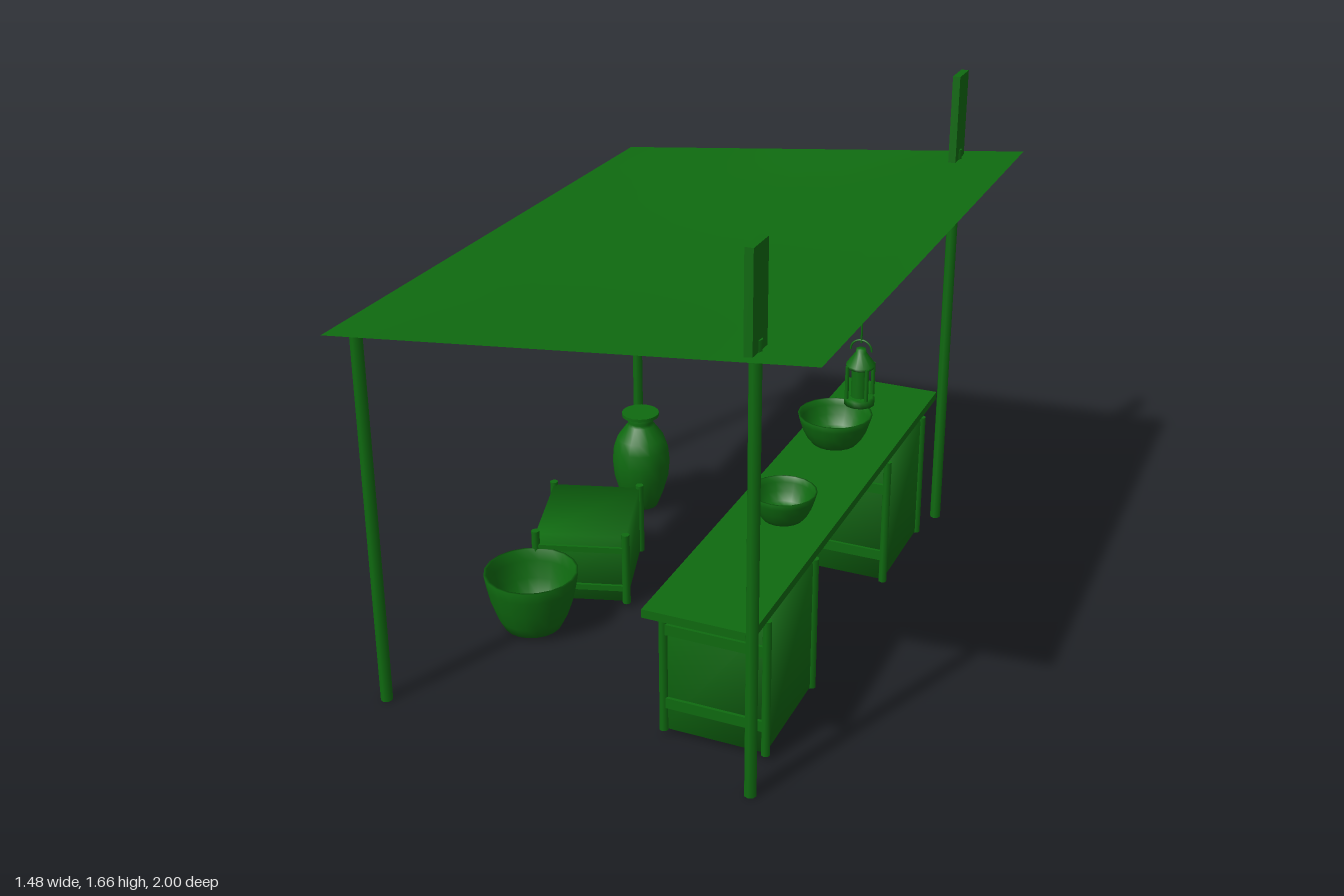
import * as THREE from 'three';
import { mergeVertices } from 'three/addons/utils/BufferGeometryUtils.js';

const green = new THREE.MeshStandardMaterial({ color: 0x0f6a10 });
const greenDouble = new THREE.MeshStandardMaterial({ color: 0x0f6a10, side: THREE.DoubleSide });

function add(parent, name, geometry, x = 0, y = 0, z = 0, material = green) {
  const mesh = new THREE.Mesh(geometry, material);
  mesh.name = name;
  mesh.position.set(x, y, z);
  parent.add(mesh);
  return mesh;
}

function group(parent, name, x, y, z) {
  const g = new THREE.Group();
  g.name = name;
  g.position.set(x, y, z);
  parent.add(g);
  return g;
}

const lathe = (points, sides = 20) =>
  new THREE.LatheGeometry(points.map(([r, y]) => new THREE.Vector2(r, y)), sides);

// Box whose corners share one normal, giving soft shading
function softBox(w, h, d) {
  const g = new THREE.BoxGeometry(w, h, d);
  g.deleteAttribute('normal');
  g.deleteAttribute('uv');
  const soft = mergeVertices(g);
  soft.computeVertexNormals();
  return soft;
}

// Crate: soft panel body, four corner posts, two rails on each z face
function crate(parent, name, x, z, halfX, halfZ, height, turn = 0) {
  const g = group(parent, name, x, 0.018, z);
  g.rotation.y = turn;
  add(g, 'crateBody', softBox(halfX * 2, height - 0.016, halfZ * 2), 0, height / 2 - 0.003, 0);
  for (const sz of [-1, 1]) {
    for (const sx of [-1, 1]) {
      add(g, 'cratePost', new THREE.CylinderGeometry(0.014, 0.014, height, 8), sx * halfX, height / 2, sz * halfZ);
    }
    for (const t of [0.22, 0.775]) {
      add(g, 'crateRail', new THREE.BoxGeometry(halfX * 2, height * 0.077, 0.02), 0, height * t, sz * halfZ);
    }
  }
}

// Open bowl with a thin wall
function bowl(parent, name, x, y, z, r, h) {
  const outer = [[0, 0], [0.62, 0], [0.75, 0.2], [0.88, 0.5], [0.96, 0.8], [1, 1]];
  const inner = [[0.94, 1], [0.89, 0.8], [0.81, 0.5], [0.67, 0.2], [0.5, 0.08], [0, 0.08]];
  add(parent, name, lathe([...outer, ...inner].map(([a, b]) => [a * r, b * h])), x, y, z, greenDouble);
}

export function createModel() {
  const model = new THREE.Group();
  model.name = 'marketStall';

  // Sloping cloth, sagging in the middle
  const cloth = new THREE.PlaneGeometry(1.475, 2, 8, 8).rotateX(-Math.PI / 2);
  const p = cloth.attributes.position;
  for (let i = 0; i < p.count; i++) {
    const u = p.getX(i) / 0.7375, v = p.getZ(i);
    p.setY(i, 1.318 + 0.078 * u - 0.042 * (1 - u * u) * (1 - v * v));
  }
  cloth.computeVertexNormals();
  add(model, 'canopy', cloth, 0, 0, 0, greenDouble);

  // Poles, with upright boards on the taller pair
  for (const s of [-1, 1]) {
    add(model, 'shortPole', new THREE.CylinderGeometry(0.019, 0.019, 1.225, 8), -0.683, 0.6125, s * 0.911);
    add(model, 'tallPole', new THREE.CylinderGeometry(0.019, 0.019, 1.405, 8), 0.528, 0.7025, s * 0.911);
    add(model, 'poleBoard', new THREE.BoxGeometry(0.025, 0.295, 0.102), 0.528, 1.5175, s * 0.912);
  }

  // Counter board resting on two crates
  add(model, 'counter', new THREE.BoxGeometry(0.335, 0.027, 1.765), 0.347, 0.4985, 0);
  crate(model, 'frontCrate', 0.343, 0.546, 0.163, 0.193, 0.455);
  crate(model, 'backCrate', 0.343, -0.546, 0.163, 0.193, 0.455);
  crate(model, 'smallCrate', -0.438, 0, 0.151, 0.18, 0.258, 0.311);

  // Bowls
  bowl(model, 'frontBowl', 0.348, 0.512, 0.211, 0.105, 0.09);
  bowl(model, 'backBowl', 0.313, 0.512, -0.361, 0.125, 0.102);
  bowl(model, 'basin', -0.467, 0.016, 0.362, 0.155, 0.197);

  // Jar with a flat lid
  const jar = group(model, 'jar', -0.5, 0.016, -0.548);
  add(jar, 'jarBody', lathe([[0, 0], [0.06, 0], [0.08, 0.05], [0.1, 0.12], [0.105, 0.18], [0.1, 0.235],
    [0.086, 0.275], [0.05, 0.325], [0.045, 0.335], [0.05, 0.345], [0.045, 0.362], [0, 0.362]], 16));
  add(jar, 'jarLid', new THREE.CylinderGeometry(0.068, 0.068, 0.012, 16), 0, 0.367, 0);

  // Hanging lantern
  const lantern = group(model, 'lantern', 0.591, 0.955, 0.242);
  add(lantern, 'lanternBase', lathe([[0, 0], [0.045, 0], [0.045, 0.018], [0.038, 0.024], [0, 0.024]], 12));
  add(lantern, 'lanternGlass', new THREE.CylinderGeometry(0.026, 0.026, 0.1, 12), 0, 0.073, 0);
  for (let i = 0; i < 4; i++) {
    const a = Math.PI / 4 + i * Math.PI / 2;
    add(lantern, 'lanternBar', new THREE.CylinderGeometry(0.006, 0.006, 0.1, 6),
      0.042 * Math.cos(a), 0.073, 0.042 * Math.sin(a));
  }
  add(lantern, 'lanternRoof', lathe([[0, 0.115], [0.04, 0.115], [0.043, 0.125], [0.016, 0.162], [0.014, 0.174], [0, 0.174]], 12));
  add(lantern, 'lanternHandle', new THREE.TorusGeometry(0.032, 0.003, 6, 16, Math.PI), 0, 0.168, 0);
  add(lantern, 'lanternWire', new THREE.CylinderGeometry(0.003, 0.003, 0.14, 6), 0, 0.262, 0);

  return model;
}
